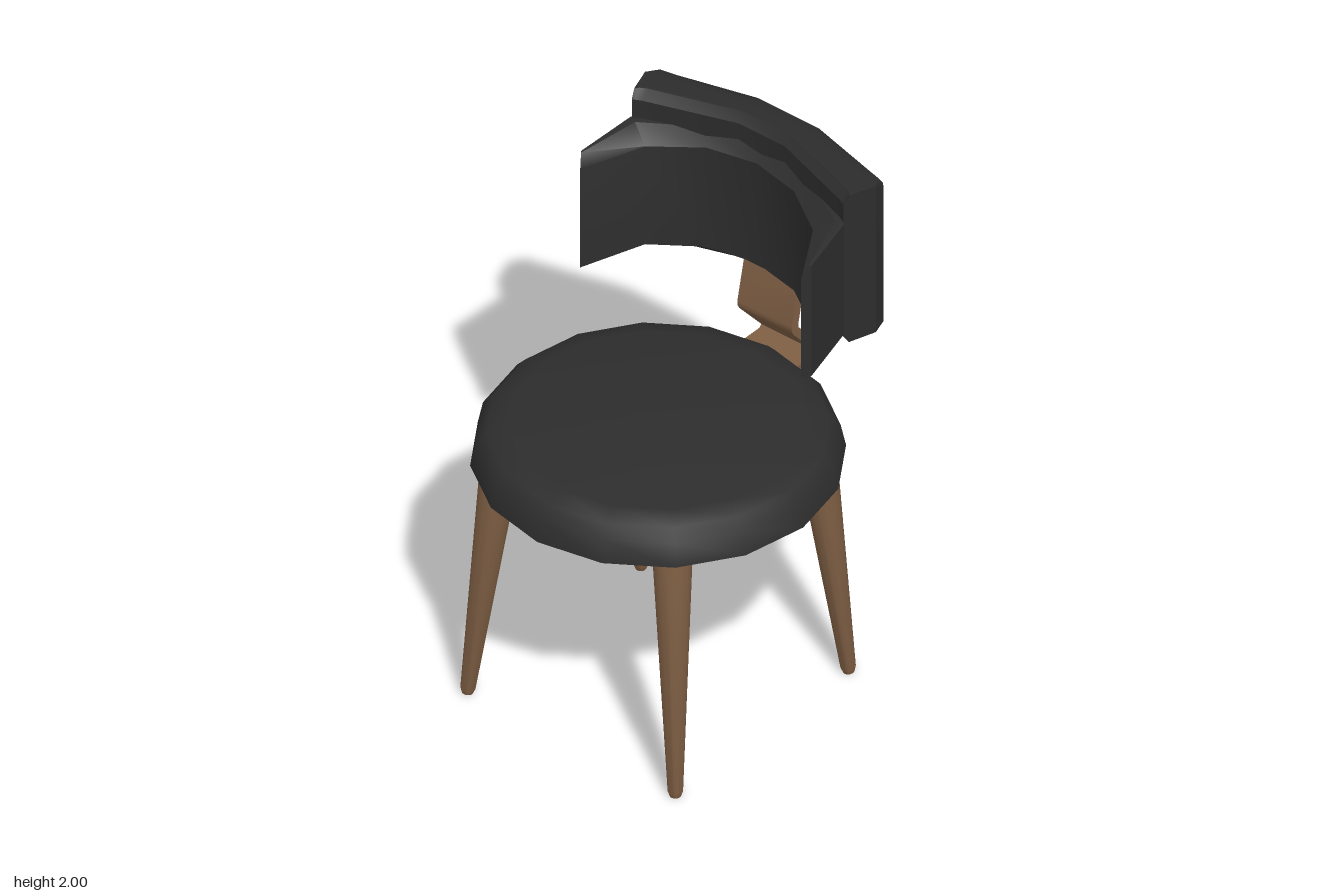
import * as THREE from 'three';
import { toCreasedNormals } from 'three/addons/utils/BufferGeometryUtils.js';

// Closed solid through rings of [x, y, z] points, ordered from -z to +z
function loft(rings) {
  const n = rings[0].length, last = (rings.length - 1) * n, index = [];
  for (let i = 0; i < rings.length - 1; i++) {
    for (let j = 0; j < n; j++) {
      const a = i * n + j, b = i * n + (j + 1) % n;
      index.push(a, b, b + n, a, b + n, a + n);
    }
  }
  for (let j = 1; j < n - 1; j++) {
    index.push(0, j + 1, j, last, last + j, last + j + 1);
  }
  const g = new THREE.BufferGeometry();
  g.setAttribute('position', new THREE.Float32BufferAttribute(rings.flat(2), 3));
  g.setIndex(index);
  return toCreasedNormals(g, 0.6);
}

// Mirror rings on the +z half to the -z half
function mirrored(half) {
  const other = half.map(ring => ring.map(([x, y, z]) => [x, y, -z])).reverse();
  if (half[0][0][2] === 0) other.pop();
  return [...other, ...half];
}

const mix = (a, b, t) => a + (b - a) * t;

export function createModel() {
  const group = new THREE.Group();
  const upholstery = new THREE.MeshStandardMaterial({ color: 0x2d2d2d });
  upholstery.name = 'black upholstery';
  const wood = new THREE.MeshStandardMaterial({ color: 0x7f5f44 });
  wood.name = 'brown wood';
  const centreX = -0.055;

  function add(name, geometry, material) {
    const mesh = new THREE.Mesh(geometry, material);
    mesh.name = name;
    group.add(mesh);
    return mesh;
  }

  // Round cushioned seat
  const seatProfile = [[0, 0.9], [0.56, 0.9], [0.63, 0.945], [0.612, 1.03], [0.575, 1.07], [0.5, 1.09], [0, 1.09]]
    .map(([r, y]) => new THREE.Vector2(r, y));
  const seat = add('seat', toCreasedNormals(new THREE.LatheGeometry(seatProfile, 16), 0.7), upholstery);
  seat.position.x = centreX;

  // Four splayed, tapered legs with rounded feet
  const up = new THREE.Vector3(0, 1, 0);
  for (const sx of [-1, 1]) {
    for (const sz of [-1, 1]) {
      const foot = new THREE.Vector3(centreX + sx * 0.452, 0.002, sz * 0.452);
      const head = new THREE.Vector3(centreX + sx * 0.375, 0.93, sz * 0.375);
      const axis = head.clone().sub(foot), length = axis.length();
      const profile = [[0, 0], [0.019, 0], [0.026, 0.02], [0.068, length]]
        .map(([r, y]) => new THREE.Vector2(r, y));
      const leg = add((sx < 0 ? 'front' : 'back') + (sz < 0 ? 'Right' : 'Left') + 'Leg',
        toCreasedNormals(new THREE.LatheGeometry(profile, 16), 0.8), wood);
      leg.position.copy(foot);
      leg.quaternion.setFromUnitVectors(up, axis.normalize());
    }
  }

  // Bent bracket joining seat and backrest
  const bracketShape = new THREE.Shape([
    [0.45, 1.0], [0.655, 1.0], [0.673, 1.008], [0.68, 1.025], [0.675, 1.042], [0.536, 1.195], [0.535, 1.212],
    [0.58, 1.42], [0.545, 1.42], [0.5, 1.215], [0.501, 1.195], [0.51, 1.178], [0.625, 1.045], [0.615, 1.035], [0.45, 1.035],
  ].map(([x, y]) => new THREE.Vector2(x, y)));
  const bracketGeometry = new THREE.ExtrudeGeometry(bracketShape, { depth: 0.236, bevelEnabled: false });
  bracketGeometry.translate(0, 0, -0.118);
  add('backBracket', toCreasedNormals(bracketGeometry, 0.5), wood);

  // Curved backrest: inner x, z, outer x, z, then drop and width of the rounded top edge
  const backHalf = [
    [0.485, 0.1, 0.655, 0.14, 0.1, 0.45],
    [0.375, 0.43, 0.58, 0.42, 0.09, 0.4],
    [0.365, 0.45, 0.545, 0.48, 0.05, 0.25],
    [0.36, 0.46, 0.48, 0.5, 0.01, 0.04],
  ].map(([ix, iz, ox, oz, drop, width]) => [
    [0, 1.42], [0.17, 1.39], [1, 1.39], [1, 2 - drop], [1 - width * 0.1, 2 - drop * 0.6],
    [1 - width * 0.4, 2 - drop * 0.2], [1 - width, 2], [0.17, 2], [0, 1.97],
  ].map(([u, y]) => [mix(ix, ox, u), y, mix(iz, oz, u)]));
  add('backrest', loft(mirrored(backHalf)), upholstery);

  // Thin wrap-around pad: inner x, z, outer x, z, then bottom, inner top and outer top
  const padHalf = [
    [0.46, 0, 0.53, 0, 1.45, 1.865, 1.91],
    [0.425, 0.19, 0.48, 0.25, 1.447, 1.86, 1.905],
    [0.315, 0.365, 0.36, 0.465, 1.437, 1.845, 1.895],
    [0.115, 0.48, 0.145, 0.5, 1.4, 1.81, 1.86],
  ].map(([ix, iz, ox, oz, bottom, low, high]) => [
    [0, bottom], [1, bottom], [1, high], [0.7, high], [0, low],
  ].map(([u, y]) => [mix(ix, ox, u), y, mix(iz, oz, u)]));
  add('backPad', loft(mirrored(padHalf)), upholstery);

  return group;
}
